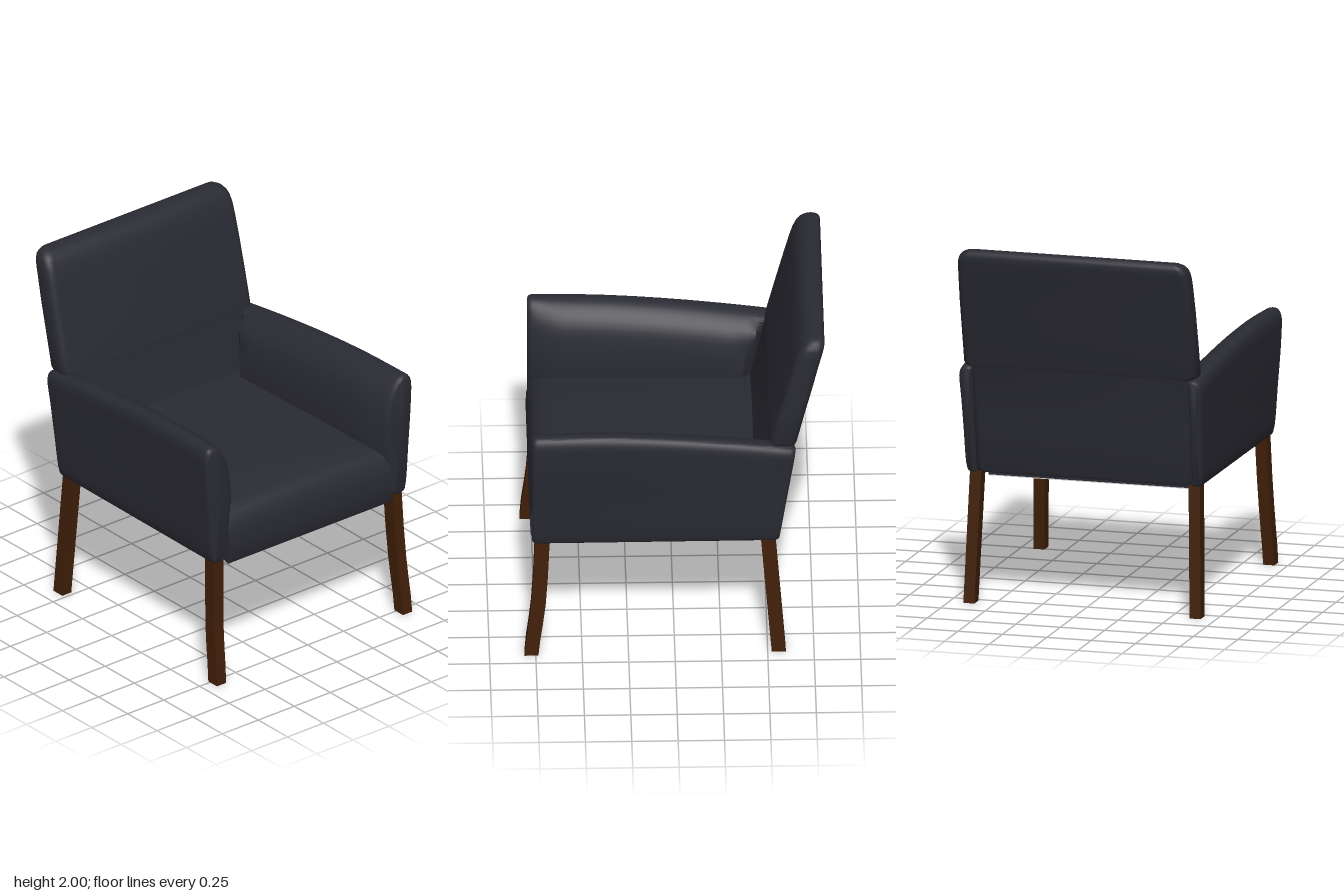
import * as THREE from 'three';
import { toCreasedNormals } from 'three/addons/utils/BufferGeometryUtils.js';

// Closed skin through equal-sized rings of [x, y, z], capped at both ends and wound outwards.
function loft(rings, crease) {
  const n = rings[0].length, tris = [];
  for (let r = 0; r < rings.length - 1; r++) {
    for (let i = 0; i < n; i++) {
      const j = (i + 1) % n;
      const a = rings[r][i], b = rings[r][j], c = rings[r + 1][j], d = rings[r + 1][i];
      tris.push([a, b, c], [a, c, d]);
    }
  }
  const cap = (ring, flip) => {
    const m = [0, 1, 2].map(k => ring.reduce((s, p) => s + p[k], 0) / n);
    ring.forEach((p, i) => {
      const q = ring[(i + 1) % n];
      tris.push(flip ? [m, q, p] : [m, p, q]);
    });
  };
  cap(rings[0], true);
  cap(rings[rings.length - 1], false);
  const v = p => new THREE.Vector3(...p);
  const volume = tris.reduce((s, [a, b, c]) => s + v(a).dot(v(b).cross(v(c))), 0);
  if (volume < 0) tris.forEach(t => t.reverse());
  const geo = new THREE.BufferGeometry();
  geo.setAttribute('position', new THREE.Float32BufferAttribute(tris.flat(2), 3));
  return toCreasedNormals(geo, crease);
}

// Pulls a 2D outline inwards by a distance along each axis.
function inset(pts, d) {
  const axis = k => {
    const vals = pts.map(p => p[k]), lo = Math.min(...vals), hi = Math.max(...vals);
    return { mid: (lo + hi) / 2, scale: 1 - 2 * d / (hi - lo) };
  };
  const ax = axis(0), ay = axis(1);
  return pts.map(([x, y]) => [ax.mid + (x - ax.mid) * ax.scale, ay.mid + (y - ay.mid) * ay.scale]);
}

// Underside of the seat as [z, y]: hollow in the middle, lower at front and back
const underside = [
  [0.755, 0.697], [0.72, 0.735], [0.66, 0.762], [0.55, 0.778], [0.3, 0.785],
  [0, 0.775], [-0.2, 0.745], [-0.32, 0.71], [-0.4, 0.692], [-0.47, 0.69],
];

// Seat: a side profile of [z, y] stretched across x, its top slightly domed.
function seatGeometry() {
  const profile = [
    [0.765, 0.692], [0.775, 0.72], [0.78, 0.8], [0.776, 0.87], [0.76, 0.925], [0.73, 0.965],
    [0.68, 0.99], [0.6, 1.002], [0.4, 1.008], [0, 1.008], [-0.48, 1.005],
    ...[...underside].reverse(),
  ];
  const half = 0.565, rings = [];
  for (let i = -8; i <= 8; i++) {
    const u = i / 8;
    rings.push(profile.map(([z, y]) => [u * half, y + (y > 0.9 ? 0.02 * (1 - u * u) : 0), z]));
  }
  return loft(rings, 0.7);
}

// Lining: a thin sheet following the underside.
function liningGeometry() {
  const sheet = [
    ...underside.map(([z, y]) => [z, y - 0.005]),
    ...[...underside].reverse().map(([z, y]) => [z, y + 0.002]),
  ];
  return loft([-0.563, 0.563].map(x => sheet.map(([z, y]) => [x, y, z])), 0.6);
}

// Back: rounded rectangles stacked upwards, stepping out above the arms.
function backGeometry() {
  // [y, half width, front z, rear z]
  const levels = [
    [0.722, 0.595, -0.37, -0.55], [0.727, 0.608, -0.365, -0.56], [0.745, 0.615, -0.365, -0.566],
    [1.02, 0.615, -0.432, -0.605], [1.32, 0.615, -0.508, -0.652], [1.328, 0.635, -0.51, -0.653],
    [1.336, 0.65, -0.512, -0.655], [1.35, 0.656, -0.515, -0.659], [1.53, 0.656, -0.56, -0.702],
    [1.71, 0.655, -0.606, -0.747], [1.84, 0.652, -0.64, -0.778], [1.9, 0.65, -0.658, -0.794],
    [1.94, 0.646, -0.675, -0.804], [1.965, 0.638, -0.69, -0.808], [1.983, 0.624, -0.707, -0.805],
    [1.995, 0.6, -0.728, -0.798], [2.0, 0.575, -0.748, -0.785],
  ];
  return loft(levels.map(([y, half, front, rear]) => {
    const r = Math.min(0.045, (front - rear) * 0.45), ring = [];
    [[1, front], [-1, front], [-1, rear], [1, rear]].forEach(([sx, z], corner) => {
      const sz = z === front ? 1 : -1;
      for (let k = 0; k <= 5; k++) {
        const a = (corner + k / 5) * Math.PI / 2;
        ring.push([sx * (half - r) + r * Math.cos(a), y, z - sz * r + r * Math.sin(a)]);
      }
    });
    return ring;
  }), 0.75);
}

// Arm: one rounded cross-section swept from front to back.
function armGeometry(side) {
  // [x, y, how far the inner face swells behind the front panel]
  const section = [
    [0.668, 0.735, 0], [0.695, 1.0, 0], [0.716, 1.28, 0], [0.715, 1.38, 0], [0.693, 1.416, 0],
    [0.655, 1.42, 0], [0.62, 1.398, 0.02], [0.577, 1.32, 0.05], [0.55, 1.2, 0.057],
    [0.545, 1.05, 0.067], [0.555, 0.95, 0.067], [0.572, 0.8, 0.01], [0.58, 0.735, 0],
    [0.592, 0.72, 0], [0.655, 0.72, 0],
  ];
  const curve = new THREE.CatmullRomCurve3(section.map(p => new THREE.Vector3(...p)), true);
  const outline = curve.getPoints(60).slice(0, -1);
  const stations = [
    [0, 0.02], [0.003, 0.01], [0.009, 0.003], [0.02, 0], [0.04, 0], [0.07, 0], [0.1, 0], [0.14, 0],
    [0.2, 0], [0.3, 0], [0.4, 0], [0.5, 0], [0.6, 0], [0.7, 0], [0.78, 0], [0.84, 0], [0.87, 0],
    [0.9, 0], [0.93, 0], [0.98, 0], [0.991, 0.003], [0.997, 0.008], [1, 0.015],
  ];
  return loft(stations.map(([t, d]) => {
    const z0 = 0.77 - 1.42 * t;
    const top = 1.425 - 0.105 * (Math.max(0, 0.5 - z0) / 1.15) ** 1.6;
    const swell = 0.75 * Math.sin(Math.min(1, t / 0.16) * Math.PI / 2) + 0.25 * t;
    // The inner face tucks in beside the back
    const innermost = 0.44 + 0.165 * THREE.MathUtils.smoothstep(t, 0.82, 0.94);
    const pts = outline.map(p => [
      Math.max(innermost, p.x - p.z * swell - 0.035 * t * Math.min(1, (p.y - 0.6) / 0.6)),
      0.72 + (p.y - 0.72) * (top - 0.72) / 0.7,
    ]);
    return inset(pts, d).map(([x, y]) => {
      const back = -0.56 - 0.155 * (y - 0.72);
      return [side * x, y, 0.77 + (back - 0.77) * t];
    });
  }), 0.75);
}

// Leg: square rings at [y, x, z, width, depth].
function legGeometry(side, levels) {
  return loft(levels.map(([y, x, z, w, d]) => [[-1, -1], [1, -1], [1, 1], [-1, 1]]
    .map(([i, k]) => [side * x + i * w / 2, y, z + k * d / 2])), 0.5);
}

export function createModel() {
  const fabric = new THREE.MeshStandardMaterial({ name: 'charcoal upholstery', color: 0x2a2a33 });
  const wood = new THREE.MeshStandardMaterial({ name: 'dark brown wood', color: 0x411f08 });
  const lining = new THREE.MeshStandardMaterial({ name: 'grey lining', color: 0xd8d8d8 });
  const chair = new THREE.Group();
  chair.name = 'armchair';
  const add = (name, geo, mat) => {
    const mesh = new THREE.Mesh(geo, mat);
    mesh.name = name;
    chair.add(mesh);
  };

  add('seat', seatGeometry(), fabric);
  add('seatLining', liningGeometry(), lining);
  add('back', backGeometry(), fabric);

  for (const [side, word] of [[1, 'left'], [-1, 'right']]) {
    add(`${word}Arm`, armGeometry(side), fabric);
    add(`${word}FrontLeg`, legGeometry(side, [
      [0, 0.647, 0.773, 0.063, 0.074], [0.1, 0.644, 0.764, 0.063, 0.076], [0.2, 0.64, 0.75, 0.063, 0.077],
      [0.32, 0.635, 0.736, 0.063, 0.078], [0.5, 0.627, 0.724, 0.063, 0.079], [0.74, 0.618, 0.714, 0.064, 0.08],
    ]), wood);
    add(`${word}BackLeg`, legGeometry(side, [
      [0, 0.637, -0.56, 0.062, 0.076], [0.74, 0.615, -0.502, 0.064, 0.078],
    ]), wood);
  }
  return chair;
}
